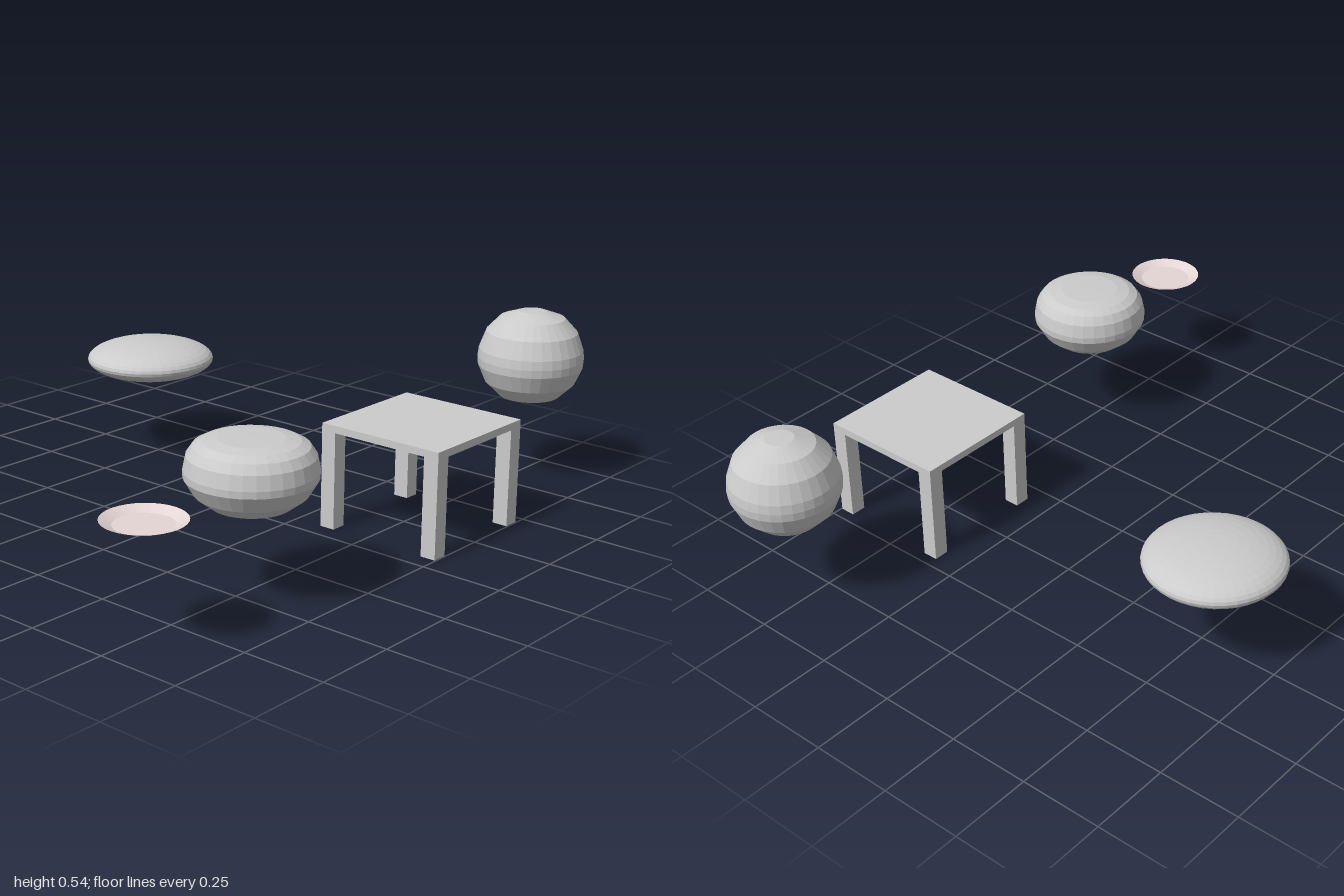
import * as THREE from 'three';

const grey = new THREE.MeshStandardMaterial({ color: 0xcccccc, flatShading: true });
const pink = new THREE.MeshStandardMaterial({ color: 0xe6d6d6, flatShading: true, side: THREE.DoubleSide });

// Turned part: profile is [radius, height] from the bottom up
function turned(name, profile, x, z, material = grey, segments = 32) {
  const points = profile.map(([r, y]) => new THREE.Vector2(r, y));
  const mesh = new THREE.Mesh(new THREE.LatheGeometry(points, segments), material);
  mesh.name = name;
  mesh.position.set(x, 0, z);
  return mesh;
}

function box(name, w, h, d, x, y, z) {
  const mesh = new THREE.Mesh(new THREE.BoxGeometry(w, h, d), grey);
  mesh.name = name;
  mesh.position.set(x, y, z);
  return mesh;
}

function createTable() {
  const table = new THREE.Group();
  table.name = 'table';
  const size = 0.408, height = 0.317, thick = 0.022, leg = 0.048;
  table.add(box('tableTop', size, thick, size, 0, height - thick / 2, 0));
  const legHeight = height - thick, offset = (size - leg) / 2;
  for (const sx of [-1, 1])
    for (const sz of [-1, 1])
      table.add(box('tableLeg', leg, legHeight, leg, sx * offset, legHeight / 2, sz * offset));
  table.position.set(0.262, 0, 0.543);
  return table;
}

export function createModel() {
  const model = new THREE.Group();
  model.name = 'tableAndPottery';
  model.add(createTable());

  // Flattened round cushion behind the table
  const cushion = new THREE.Mesh(new THREE.SphereGeometry(1, 40, 20), grey);
  cushion.name = 'cushion';
  cushion.scale.set(0.204, 0.06, 0.204);
  cushion.position.set(0.261, 0.305, -0.544);
  model.add(cushion);

  // Tall round jar with flat base and top
  model.add(turned('roundJar', [
    [0, 0.268], [0.092, 0.268], [0.138, 0.312], [0.161, 0.365], [0.163, 0.39], [0.16, 0.418],
    [0.14, 0.473], [0.1, 0.516], [0.042, 0.537], [0, 0.538],
  ], 0.835, 0.539));

  // Squat wide pot
  model.add(turned('squatPot', [
    [0, 0.268], [0.11, 0.268], [0.152, 0.3], [0.179, 0.345], [0.18, 0.365], [0.172, 0.405],
    [0.155, 0.43], [0.13, 0.443], [0.09, 0.45], [0, 0.451],
  ], -0.488, 0.543));

  // Shallow open saucer
  model.add(turned('saucer', [[0, 0.325], [0.08, 0.325], [0.113, 0.339]], -0.887, 0.543, pink));
  return model;
}
